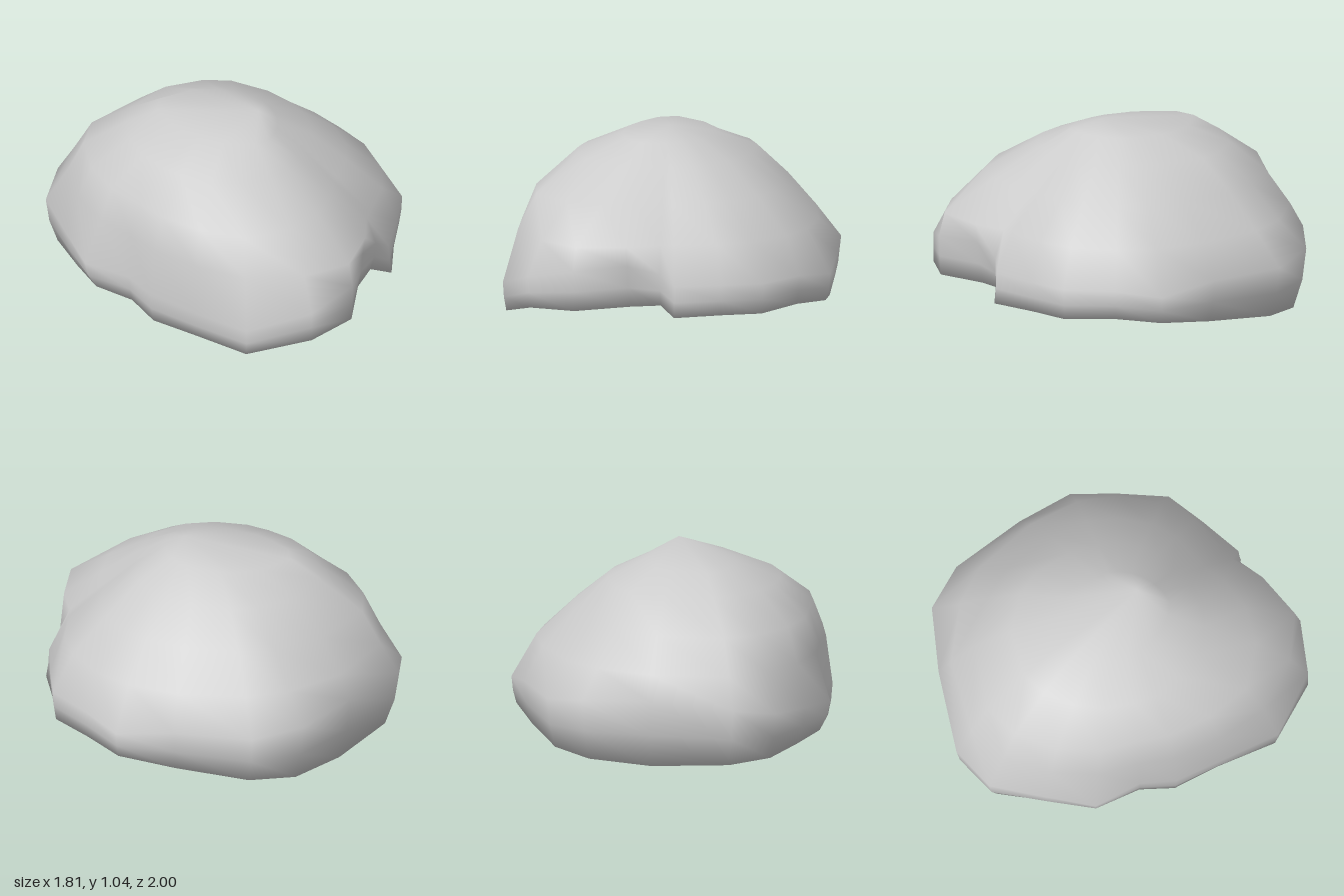
import * as THREE from 'three';

// Widest outline, walking round from the back: [x, z, height of belt, height of base rim, rim scale]
const OUTLINE = [
  [-0.05, -1.00, 0.38, 0.00, 0.93], [0.33, -0.98, 0.36, 0.02, 0.93], [0.56, -0.81, 0.32, 0.04, 0.94],
  [0.77, -0.43, 0.32, 0.08, 0.95], [0.905, -0.13, 0.27, 0.12, 0.97], [0.86, 0.12, 0.30, 0.14, 0.98],
  [0.80, 0.40, 0.30, 0.13, 0.98], [0.63, 0.56, 0.30, 0.13, 0.98], [0.43, 0.73, 0.30, 0.13, 1.02],
  [0.34, 0.73, 0.36, 0.18, 0.96], [0.18, 0.81, 0.40, 0.17, 0.96], [-0.05, 1.00, 0.38, 0.16, 0.99],
  [-0.34, 1.00, 0.32, 0.15, 1.00], [-0.63, 0.79, 0.22, 0.06, 0.98], [-0.73, 0.47, 0.22, 0.05, 0.96],
  [-0.82, 0.20, 0.24, 0.06, 0.97], [-0.81, 0.00, 0.25, 0.09, 0.97], [-0.905, -0.26, 0.25, 0.08, 0.93],
  [-0.82, -0.52, 0.27, 0.06, 0.94], [-0.72, -0.82, 0.30, 0.04, 0.94], [-0.51, -0.97, 0.34, 0.02, 0.93],
];

// Higher contours: height, then a radius every 30 degrees, from the back towards +x and round
const CONTOURS = [
  [0.51, [0.93, 0.88, 0.82, 0.83, 0.82, 0.76, 0.97, 0.92, 0.78, 0.74, 0.85, 0.98]],
  [0.70, [0.80, 0.72, 0.64, 0.63, 0.62, 0.57, 0.70, 0.80, 0.71, 0.68, 0.78, 0.88]],
  [0.87, [0.60, 0.54, 0.46, 0.42, 0.42, 0.39, 0.45, 0.49, 0.50, 0.52, 0.57, 0.63]],
  [0.97, [0.37, 0.28, 0.23, 0.22, 0.22, 0.24, 0.28, 0.26, 0.25, 0.27, 0.34, 0.48]],
];
const AXIS_X = -0.05;
const PEAK = [0.02, 1.045, 0.11];

const baseRim = () => OUTLINE.map(([x, z, , y, s]) => [x * s, y, z * s]);
const belt = () => OUTLINE.map(([x, z, y]) => [x, y, z]);

// Slightly bulging band between the base rim and the belt
function hem() {
  return OUTLINE.map(([x, z, top, low, s]) => {
    const k = s + (1 - s) * 0.7;
    return [x * k, low + (top - low) * 0.48, z * k];
  });
}

// Sample a contour's radii in the direction of each outline point
function contour([y, radii]) {
  return OUTLINE.map(([x, z]) => {
    const angle = Math.atan2(x - AXIS_X, -z);
    const step = ((angle / (2 * Math.PI) + 1) % 1) * radii.length;
    const i = Math.floor(step);
    const r = THREE.MathUtils.lerp(radii[i], radii[(i + 1) % radii.length], step - i);
    return [AXIS_X + r * Math.sin(angle), y, -r * Math.cos(angle)];
  });
}

export function createModel() {
  const group = new THREE.Group();
  group.name = 'boulder';

  const n = OUTLINE.length;
  const rings = [baseRim(), hem(), belt(), ...CONTOURS.map(contour)];
  const top = rings.length * n, bottom = top + 1;
  const index = [];
  for (let i = 0; i < n; i++) {
    const next = (i + 1) % n;
    // Sides, skinned from the base rim up
    for (let j = 0; j < rings.length - 1; j++) {
      const a = j * n + i, b = j * n + next;
      index.push(a, a + n, b + n, a, b + n, b);
    }
    // Crown and nearly flat underside
    index.push(top - n + i, top, top - n + next);
    index.push(bottom, i, next);
  }

  const geometry = new THREE.BufferGeometry();
  const points = [...rings.flat(), PEAK, [0, 0.1, 0]];
  geometry.setAttribute('position', new THREE.Float32BufferAttribute(points.flat(), 3));
  geometry.setIndex(index);
  geometry.computeVertexNormals();

  const stone = new THREE.Mesh(geometry, new THREE.MeshStandardMaterial({ color: 0xcccccc }));
  stone.name = 'stone';
  group.add(stone);
  return group;
}
